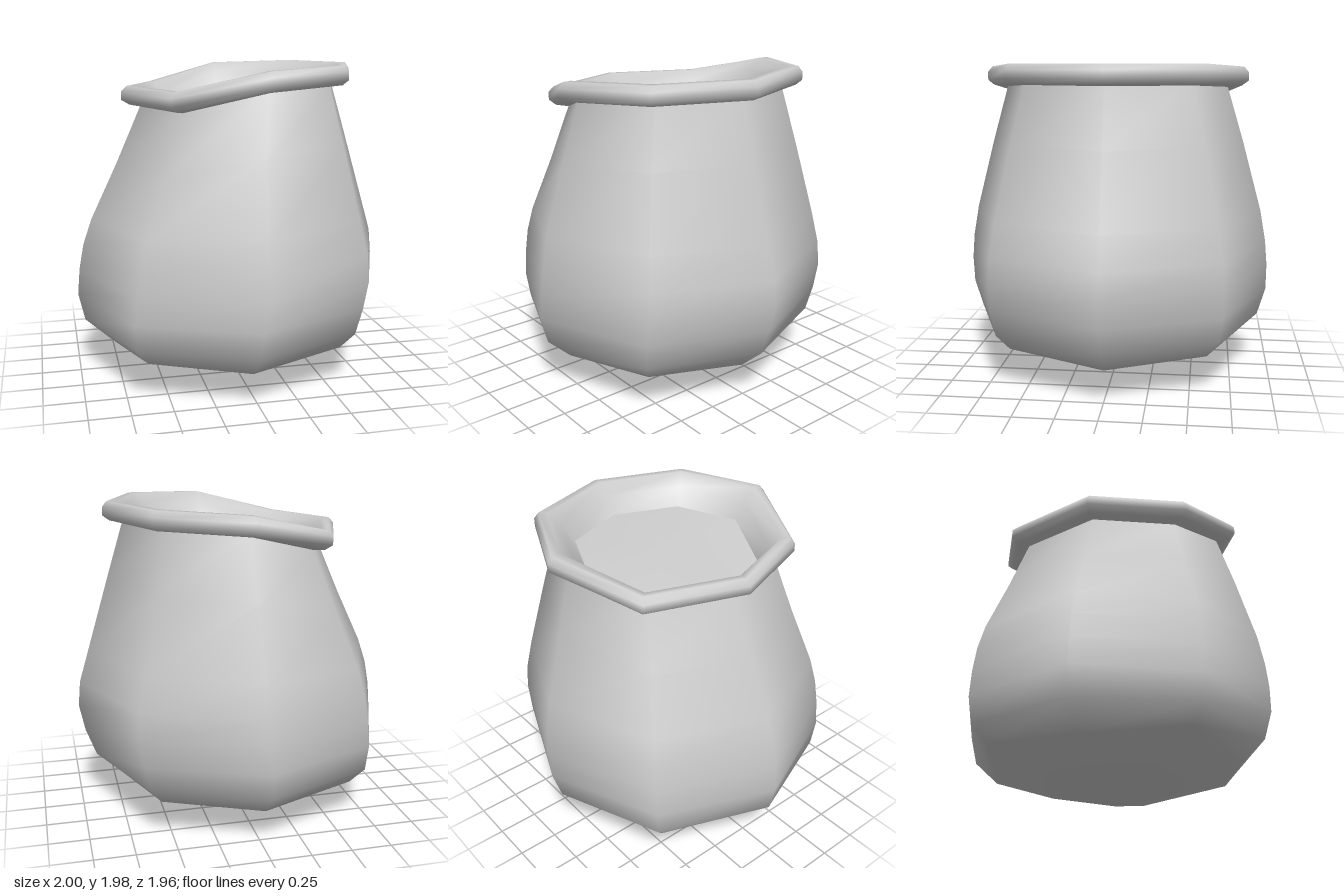
import * as THREE from 'three';
import { mergeVertices } from 'three/addons/utils/BufferGeometryUtils.js';

const SIDES = 8;
// Height change of the slanted mouth at each of the eight corners, starting at +x
const SLANT = [0, 0, -0.02, -0.14, -0.135, -0.14, -0.02, 0];

// Skins eight-sided rings: [xMin, xMax, zRadius, y, slant amount, corner lift, corner scale]
function loft(name, rings, material) {
  const pos = [], index = [];
  rings.forEach(([x0, x1, rz, y, slant = 0, lift = 0, scale = 1], i) => {
    for (let k = 0; k < SIDES; k++) {
      const a = (k / SIDES) * Math.PI * 2;
      const diagonal = k % 2 === 1;
      const s = diagonal ? scale : 1;
      pos.push(
        (x0 + x1) / 2 + ((x1 - x0) / 2) * Math.cos(a) * s,
        y + SLANT[k] * slant + (diagonal ? lift : 0),
        rz * Math.sin(a) * s
      );
      if (i < rings.length - 1) {
        const p = i * SIDES + k, q = i * SIDES + ((k + 1) % SIDES);
        index.push(p, p + SIDES, q, q, p + SIDES, q + SIDES);
      }
    }
  });
  let geometry = new THREE.BufferGeometry();
  geometry.setAttribute('position', new THREE.Float32BufferAttribute(pos, 3));
  geometry.setIndex(index);
  geometry = mergeVertices(geometry, 1e-4);
  geometry.computeVertexNormals();
  const mesh = new THREE.Mesh(geometry, material);
  mesh.name = name;
  return mesh;
}

export function createModel() {
  const group = new THREE.Group();
  group.name = 'sack';
  const material = new THREE.MeshStandardMaterial({ color: 0xcccccc, side: THREE.DoubleSide });

  // Bulging body rising from a pointed base to the narrow neck
  group.add(loft('body', [
    [-0.03, -0.03, 0, 0],
    [-0.80, 0.74, 0.775, 0.2, 0, 0.05, 1.1],
    [-0.96, 0.90, 0.93, 0.345, 0, 0.01, 1.02],
    [-1.0, 0.965, 0.98, 0.52],
    [-0.985, 1.0, 0.98, 0.69],
    [-0.955, 0.985, 0.965, 0.85],
    [-0.90, 0.925, 0.93, 1.05, 0.3],
    [-0.73, 0.79, 0.81, 1.5, 1],
    [-0.57, 0.68, 0.70, 1.86, 1],
  ], material));

  // Rolled rim, curling over and down inside the mouth
  group.add(loft('rim', [
    [-0.57, 0.68, 0.70, 1.855, 1],
    [-0.64, 0.76, 0.79, 1.865, 1],
    [-0.69, 0.80, 0.83, 1.895, 1],
    [-0.69, 0.80, 0.83, 1.945, 1],
    [-0.655, 0.775, 0.80, 1.98, 1],
    [-0.61, 0.72, 0.745, 1.98, 1],
    [-0.55, 0.645, 0.66, 1.91, 1],
    [-0.50, 0.58, 0.58, 1.80, 0.8],
  ], material));

  // Surface of the contents
  group.add(loft('contents', [
    [-0.50, 0.58, 0.58, 1.80, 0.8],
    [0.04, 0.04, 0, 1.765],
  ], material));

  return group;
}
